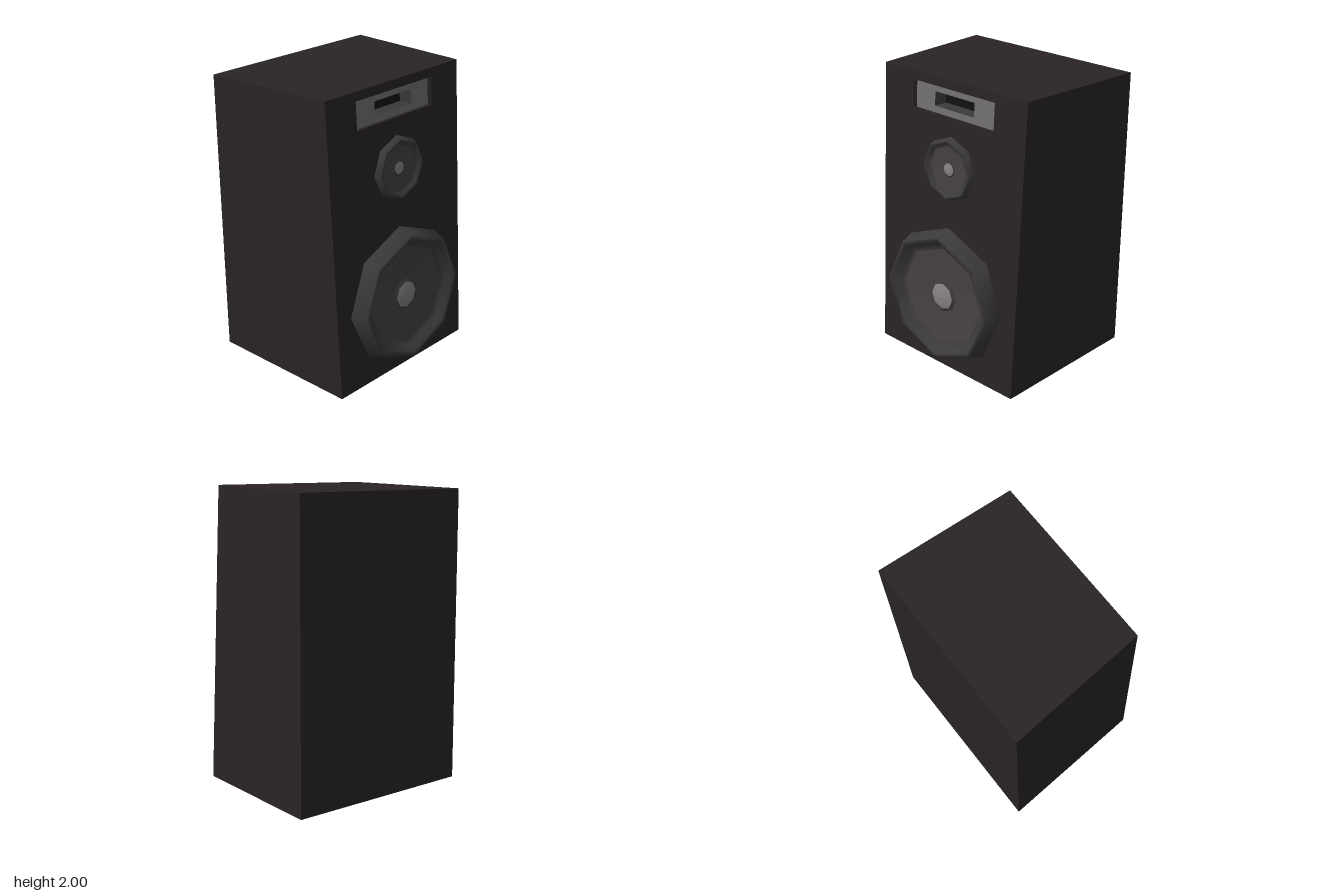
import * as THREE from 'three';

const mat = (color) => new THREE.MeshStandardMaterial({ color, side: THREE.DoubleSide });
const wood = mat(0x2a2424), rubber = mat(0x3c3a39), paper = mat(0x454140),
  metal = mat(0x858084), plateGrey = mat(0x737072), black = mat(0x111111);

function add(parent, name, geometry, material) {
  const mesh = new THREE.Mesh(geometry, material);
  mesh.name = name;
  parent.add(mesh);
  return mesh;
}

// Corners of a centred rectangle, counter-clockwise
const rect = (hw, hh, y = 0) => [[-hw, y - hh], [hw, y - hh], [hw, y + hh], [-hw, y + hh]]
  .map(([a, b]) => new THREE.Vector2(a, b));

function panel(outline, hole) {
  const shape = new THREE.Shape(outline);
  if (hole) shape.holes.push(new THREE.Path(hole));
  return new THREE.ShapeGeometry(shape);
}

// Four inward-facing walls from a front rectangle to a back rectangle
function walls(front, zFront, back, zBack) {
  const pos = [];
  for (let i = 0; i < 4; i++) {
    const j = (i + 1) % 4;
    const a = [front[i].x, front[i].y, zFront], b = [front[j].x, front[j].y, zFront];
    const c = [back[j].x, back[j].y, zBack], d = [back[i].x, back[i].y, zBack];
    pos.push(...a, ...b, ...c, ...a, ...c, ...d);
  }
  const g = new THREE.BufferGeometry();
  g.setAttribute('position', new THREE.Float32BufferAttribute(pos, 3));
  g.computeVertexNormals();
  return g;
}

// Eight-sided turned part facing +z
function turned(points) {
  return new THREE.LatheGeometry(points.map(([r, z]) => new THREE.Vector2(r, z)), 8)
    .rotateX(Math.PI / 2);
}

// Speaker driver: raised surround, shallow cone and domed dust cap
function driver(name, y, r, h, cap) {
  const g = new THREE.Group();
  g.name = name;
  g.position.y = y;
  add(g, 'surround', turned([[r, 0], [r * 0.93, h], [r * 0.86, h * 0.95],
    [r * 0.8, h * 0.5], [r * 0.72, h * 0.42]]), rubber);
  add(g, 'cone', turned([[r * 0.725, h * 0.45], [cap * 1.1, h * 0.3]]), paper);
  add(g, 'dustCapRing', turned([[cap * 1.15, h * 0.3], [cap * 0.92, h * 0.42]]), rubber);
  add(g, 'dustCap', turned([[cap * 0.92, h * 0.42], [cap * 0.5, h * 0.54], [0, h * 0.58]]), metal);
  return g;
}

export function createModel() {
  const model = new THREE.Group();
  model.name = 'loudspeaker';

  // Cabinet body: tapered box, open at the front where the baffle sits
  const box = new THREE.BoxGeometry(2, 2, 2);
  const p = box.attributes.position;
  for (let i = 0; i < p.count; i++) {
    const front = p.getZ(i) > 0, top = p.getY(i) > 0;
    p.setXYZ(i, p.getX(i) * (front ? 0.6 : 0.667),
      top ? (front ? 2 : 1.975) : 0,
      front ? (top ? 0.35 : 0.48) : -0.585);
  }
  const index = Array.from(box.index.array);
  index.splice(24, 6);
  box.setIndex(index);
  box.clearGroups();
  box.computeVertexNormals();
  add(model, 'cabinet', box, wood);

  // Everything on the front leans back with the baffle
  const face = new THREE.Group();
  face.name = 'frontAssembly';
  face.position.z = 0.48;
  face.rotation.x = -Math.atan2(0.13, 2);
  model.add(face);
  const height = Math.hypot(2, 0.13);
  const portY = 1.852;
  const opening = rect(0.347, 0.092, portY), plate = rect(0.33, 0.09, portY);
  const slot = rect(0.167, 0.047, portY), slotBack = rect(0.14, 0.034, portY);
  add(face, 'baffle', panel(rect(0.6, height / 2, height / 2), opening), wood);

  // Recessed port plate with a tapering slot
  add(face, 'portRecess', walls(opening, 0, plate, -0.02), wood);
  add(face, 'portPlate', panel(plate, slot), plateGrey).position.z = -0.02;
  add(face, 'portSlot', walls(slot, -0.02, slotBack, -0.09), rubber);
  add(face, 'portSlotBack', panel(slotBack), black).position.z = -0.09;

  face.add(driver('woofer', 0.542, 0.48, 0.105, 0.1));
  face.add(driver('tweeter', 1.43, 0.215, 0.04, 0.047));
  return model;
}
